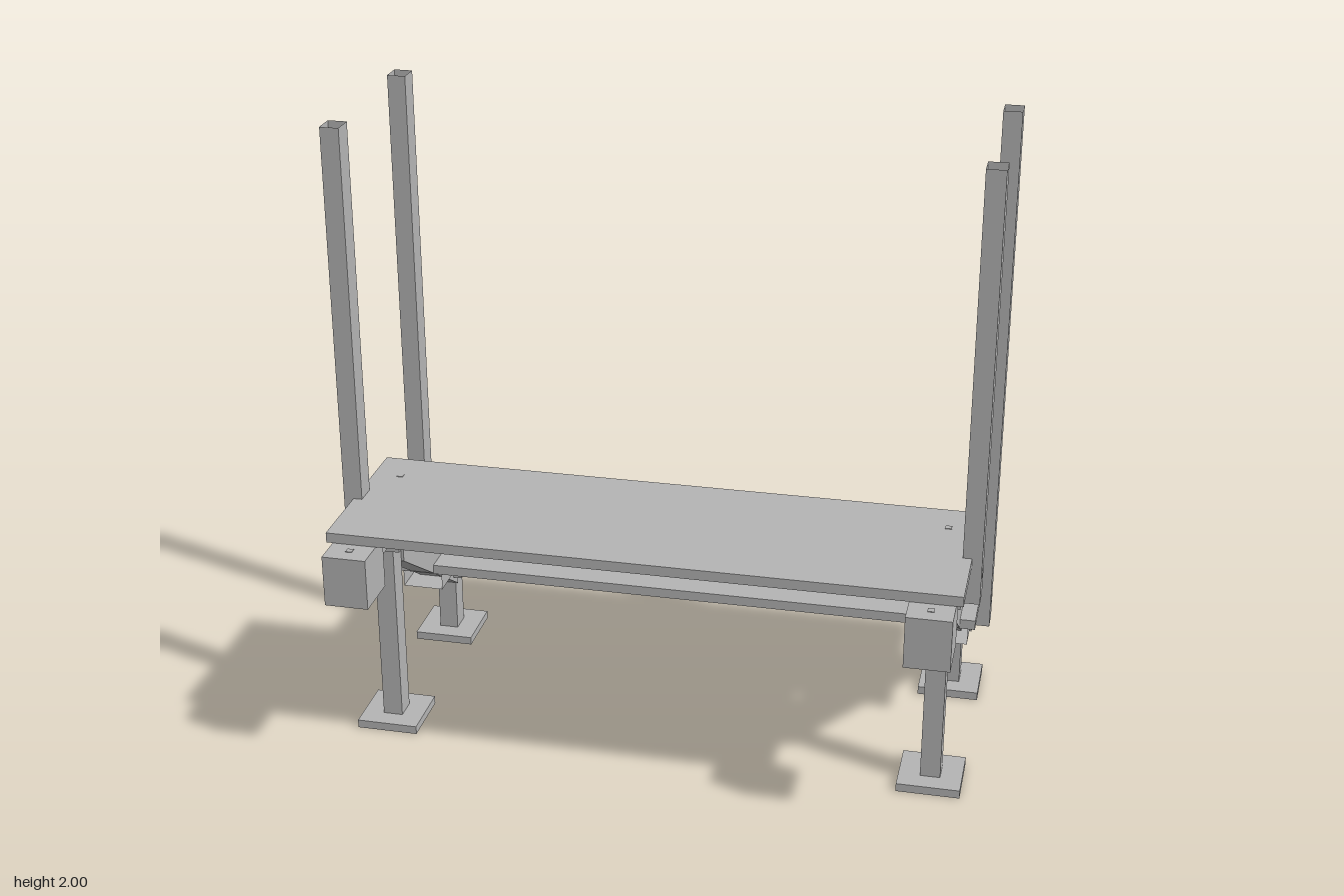
import * as THREE from 'three';

const steel = new THREE.MeshStandardMaterial({ color: 0xb4b4b4, side: THREE.DoubleSide });
steel.name = 'grey steel';

// Box given by its [min, max] range on each axis
function box(name, x, y, z) {
  const geo = new THREE.BoxGeometry(x[1] - x[0], y[1] - y[0], z[1] - z[0]);
  geo.translate((x[0] + x[1]) / 2, (y[0] + y[1]) / 2, (z[0] + z[1]) / 2);
  const mesh = new THREE.Mesh(geo, steel);
  mesh.name = name;
  return mesh;
}

// Thin-walled square tube: a box without the two end faces of one axis (0 x, 1 y, 2 z)
function tube(name, axis, x, y, z) {
  const mesh = box(name, x, y, z);
  const index = Array.from(mesh.geometry.index.array);
  index.splice(axis * 12, 12);
  mesh.geometry.setIndex(index);
  mesh.geometry.clearGroups();
  return mesh;
}

const around = (c, size) => [c - size / 2, c + size / 2];

// Two levels: plank top height, plank depth range, post centre in z
const levels = [
  { name: 'upper', top: 0.799, z: [-0.029, 0.535], post: 0.253 },
  { name: 'lower', top: 0.399, z: [-0.631, -0.063], post: -0.348 },
];
const legX = 0.879;

export function createModel() {
  const model = new THREE.Group();
  model.name = 'steppedBench';

  for (const { name, top, z, post } of levels) {
    const level = new THREE.Group();
    level.name = name + 'Level';
    level.add(box('plank', [-0.968, 0.968], [top - 0.032, top], z));

    for (const s of [1, -1]) {
      const span = (a, b) => (s > 0 ? [a, b] : [-b, -a]);
      const mid = around(post, 0.072);
      level.add(
        // foot, leg and the support carrying the rail
        box('footPlate', span(0.78, 0.978), [0, 0.027], around(post, 0.197)),
        tube('leg', 1, around(s * legX, 0.063), [0.027, top - 0.151], mid),
        box('railSupport', span(0.81, 0.945), [top - 0.151, top - 0.088], around(post, 0.162)),
        // open rail under the plank end
        tube('rail', 2, span(0.812, 0.945), [top - 0.088, top - 0.032], z),
        // tall open post at the outside
        tube('post', 1, span(0.94, 0.999), [top - 0.151, 2], mid),
        // bolts through the plank and the post
        box('plankBolt', around(s * legX, 0.02), [top - 0.01, top + 0.002], around(z[0] + 0.125, 0.02)),
        box('postBolt', span(0.99, 1), around(top - 0.058, 0.026), around(post, 0.026)),
      );
    }
    model.add(level);
  }

  // Sloping brace joining the two legs of each side
  const outline = new THREE.Shape([
    new THREE.Vector2(0.217, 0.698), new THREE.Vector2(0.217, 0.556),
    new THREE.Vector2(-0.313, 0.203), new THREE.Vector2(-0.313, 0.345),
  ]);
  const braceGeo = new THREE.ExtrudeGeometry(outline, { depth: 0.08, bevelEnabled: false });
  braceGeo.translate(0, 0, -0.04).rotateY(-Math.PI / 2);

  for (const s of [1, -1]) {
    const brace = new THREE.Mesh(braceGeo, steel);
    brace.name = 'brace';
    brace.position.x = s * legX;
    model.add(brace);

    // Block under the front corner
    model.add(
      box('frontBlock', around(s * legX, 0.137), [0.603, 0.767], [0.472, 0.631]),
      box('blockBolt', around(s * legX, 0.02), [0.76, 0.769], around(0.575, 0.02)),
    );
  }
  return model;
}
